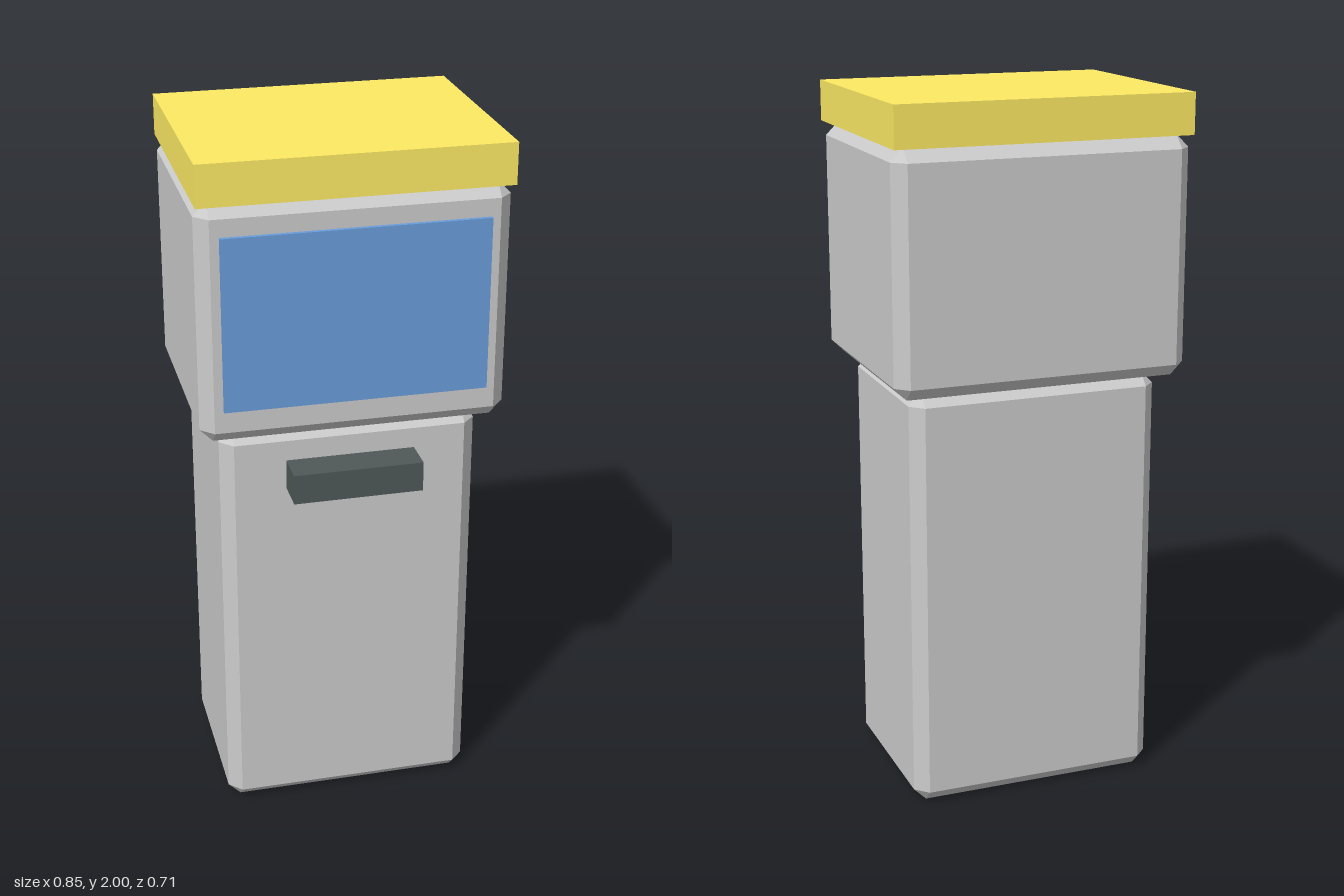
import * as THREE from 'three';
import { ConvexGeometry } from 'three/addons/geometries/ConvexGeometry.js';

const material = (color) => new THREE.MeshStandardMaterial({ color, flatShading: true });

// Box given by its extents, symmetric in x; a chamfer cuts all edges and corners.
function block(name, halfWidth, [y0, y1], [z0, z1], mat, chamfer = 0) {
  const half = [halfWidth, (y1 - y0) / 2, (z1 - z0) / 2];
  let geometry;
  if (chamfer) {
    const points = [];
    for (const sx of [-1, 1]) for (const sy of [-1, 1]) for (const sz of [-1, 1]) {
      // each corner becomes three points, one on each adjoining face
      for (let face = 0; face < 3; face++) {
        const p = [sx, sy, sz].map((s, axis) => s * (half[axis] - (axis === face ? 0 : chamfer)));
        points.push(new THREE.Vector3(...p));
      }
    }
    geometry = new ConvexGeometry(points);
  } else {
    geometry = new THREE.BoxGeometry(...half.map((h) => h * 2));
  }
  const mesh = new THREE.Mesh(geometry, mat);
  mesh.name = name;
  mesh.position.set(0, (y0 + y1) / 2, (z0 + z1) / 2);
  return mesh;
}

export function createModel() {
  const grey = material(0xcccccc);
  const yellow = material(0xfdea64);
  const blue = material(0x699cdb);
  const dark = material(0x4f5957);

  const model = new THREE.Group();
  model.name = 'kiosk';
  model.add(
    // chamfered cabinets
    block('pedestal', 0.363, [0, 1.215], [-0.289, 0.254], grey, 0.036),
    block('head', 0.424, [1.215, 1.885], [-0.353, 0.315], grey, 0.036),
    // flat slab on top
    block('topSign', 0.424, [1.885, 2], [-0.353, 0.327], yellow),
    // panel and shelf on the front
    block('screen', 0.363, [1.315, 1.8], [0.303, 0.327], blue),
    block('shelf', 0.182, [1.034, 1.12], [0.245, 0.353], dark),
  );
  return model;
}
